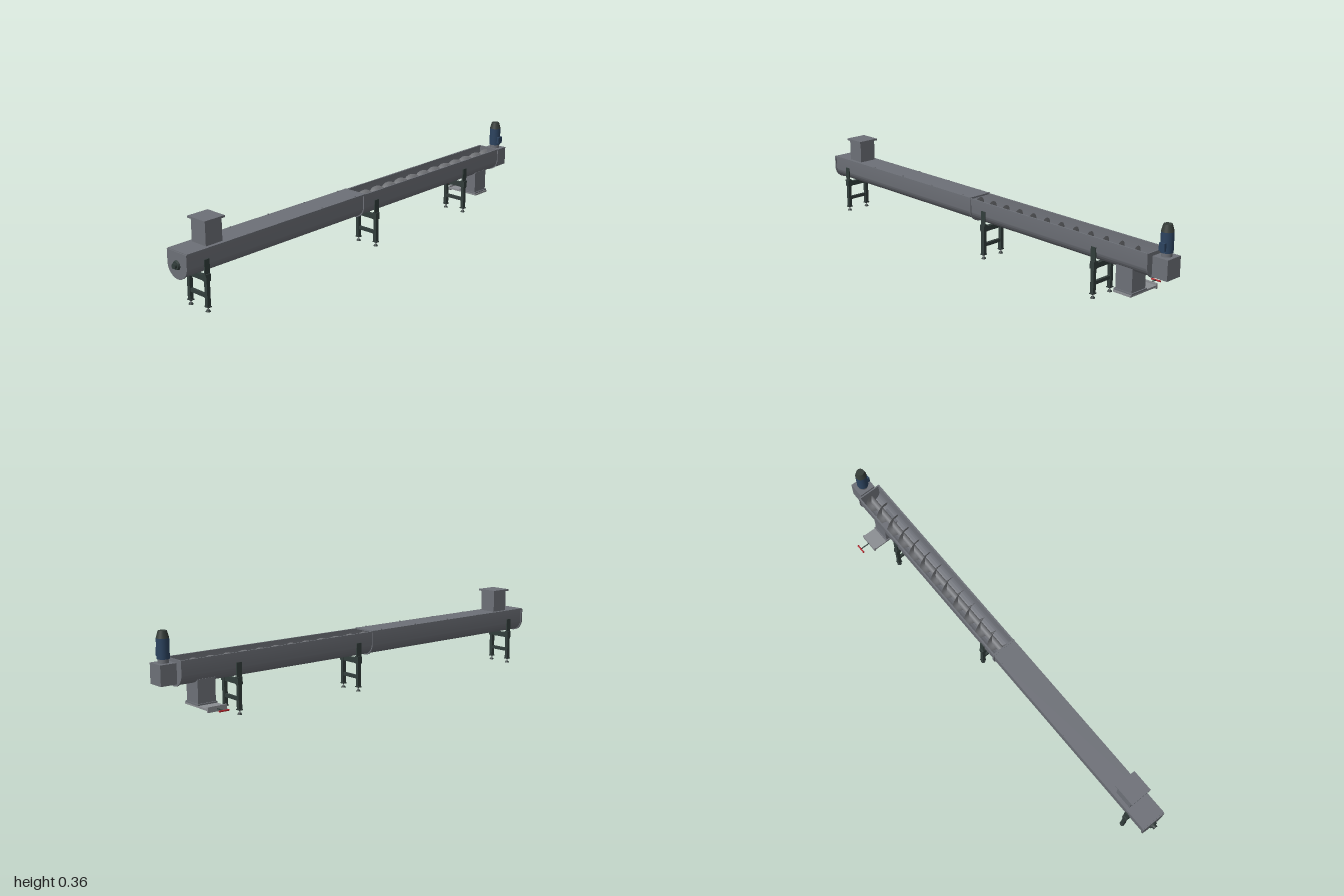
import * as THREE from 'three';
import { toCreasedNormals } from 'three/addons/utils/BufferGeometryUtils.js';
import { ParametricGeometry } from 'three/addons/geometries/ParametricGeometry.js';

const mat = (name, color, side = THREE.FrontSide) =>
  Object.assign(new THREE.MeshStandardMaterial({ color, side }), { name });

export function createModel() {
  const steel = mat('steel grey', 0x6d7077);
  const flightSteel = mat('screw steel', 0x787a7e, THREE.DoubleSide);
  const lightSteel = mat('light steel', 0x8b8e92);
  const frame = mat('dark frame', 0x323d3b);
  const blue = mat('motor blue', 0x2c435f);
  const dark = mat('fan cover dark', 0x353c38);
  const red = mat('handle red', 0xb02028);

  const model = new THREE.Group();
  model.name = 'screwConveyor';
  // Everything is laid out around the screw axis plane, then shifted in z
  const body = new THREE.Group();
  body.name = 'conveyor';
  body.position.z = 0.05;
  model.add(body);

  const add = (name, geo, material, x = 0, y = 0, z = 0, parent = body) => {
    const m = new THREE.Mesh(geo, material);
    m.name = name;
    m.position.set(x, y, z);
    parent.add(m);
    return m;
  };
  // Box given by its limits on each axis
  const box = (name, material, [x0, x1], [y0, y1], [z0, z1], parent = body) =>
    add(name, new THREE.BoxGeometry(x1 - x0, y1 - y0, z1 - z0), material,
      (x0 + x1) / 2, (y0 + y1) / 2, (z0 + z1) / 2, parent);
  const cyl = (name, material, r0, r1, h, x, y, z, parent = body, axis = 'y') => {
    const g = new THREE.CylinderGeometry(r1, r0, h, 24);
    if (axis === 'x') g.rotateZ(-Math.PI / 2);
    if (axis === 'z') g.rotateX(Math.PI / 2);
    return add(name, g, material, x, y, z, parent);
  };

  const AXIS = 0.199, TOP = 0.25, R = 0.0515;

  // U-shaped section extruded along x; inner radius 0 makes a solid plate
  const uSection = (name, x0, x1, outer, inner, material = steel) => {
    const h = TOP - AXIS;
    const s = new THREE.Shape();
    s.moveTo(-outer, h);
    s.lineTo(-outer, 0);
    s.absarc(0, 0, outer, Math.PI, Math.PI * 2, false);
    s.lineTo(outer, h);
    if (inner) {
      s.lineTo(inner, h);
      s.lineTo(inner, 0);
      s.absarc(0, 0, inner, Math.PI * 2, Math.PI, true);
      s.lineTo(-inner, h);
    }
    s.closePath();
    const g = new THREE.ExtrudeGeometry(s, { depth: x1 - x0, bevelEnabled: false, curveSegments: 28 });
    g.rotateY(Math.PI / 2);
    return add(name, toCreasedNormals(g, 0.6), material, x0, AXIS, 0);
  };

  // Trough sections, end plates and joint flange
  uSection('coveredTrough', -0.975, -0.034, R, R - 0.003);
  uSection('openTrough', -0.026, 0.915, R, R - 0.003);
  uSection('inletEndPlate', -0.982, -0.975, 0.0555, 0);
  uSection('driveEndPlate', 0.915, 0.921, 0.0555, 0);
  uSection('jointFlange', -0.034, -0.026, 0.0565, R - 0.003);
  box('jointBar', steel, [-0.034, -0.026], [0.247, 0.254], [-0.0565, 0.0565]);

  // Rim strips and flat cover
  for (const s of [-1, 1]) {
    const z = [s * 0.0525 - 0.003, s * 0.0525 + 0.003];
    box('troughRim', steel, [-0.975, 0.915], [0.246, 0.251], z);
  }
  box('cover', steel, [-0.978, -0.034], [0.25, 0.253], [-0.0555, 0.0555]);
  for (let x = -0.68; x < -0.05; x += 0.2) {
    for (const s of [-1, 1]) cyl('coverBolt', steel, 0.003, 0.003, 0.004, x, 0.2545, s * 0.05);
  }

  // Screw: shaft with helical flight
  cyl('screwShaft', flightSteel, 0.013, 0.013, 1.91, -0.025, AXIS, 0, body, 'x');
  const len = 1.87, turns = 24;
  const flight = new ParametricGeometry((u, v, p) => {
    const r = 0.012 + u * 0.032, a = v * turns * Math.PI * 2;
    p.set(-0.965 + v * len, r * Math.cos(a), r * Math.sin(a));
  }, 1, turns * 20);
  add('screwFlight', flight, flightSteel, 0, AXIS, 0);

  // Bearing at the inlet end
  cyl('endBearing', frame, 0.019, 0.016, 0.008, -0.986, AXIS, 0, body, 'x').rotation.y = Math.PI;
  cyl('bearingCap', frame, 0.01, 0.01, 0.014, -0.993, AXIS, 0, body, 'x');

  // Inlet box with flange (four rails around an open mouth)
  const inletX = -0.837;
  const duct = (name, x, y0, y1, half, t) => {
    for (const s of [-1, 1]) {
      const near = [s * (half - t / 2) - t / 2, s * (half - t / 2) + t / 2];
      box(name, steel, [x + near[0], x + near[1]], [y0, y1], [-half, half]);
      box(name, steel, [x - half + t, x + half - t], [y0, y1], near);
    }
  };
  duct('inletWall', inletX, 0.252, 0.347, 0.04, 0.003);
  box('inletFlange', steel, [inletX - 0.049, inletX + 0.049], [0.346, 0.354], [-0.049, 0.049]);

  // Discharge spout with slide gate
  const outX = 0.802;
  box('spout', steel, [outX - 0.04, outX + 0.04], [0.065, 0.165], [-0.04, 0.04]);
  box('spoutFlange', steel, [outX - 0.045, outX + 0.045], [0.063, 0.069], [-0.045, 0.045]);
  box('slideGate', lightSteel, [outX - 0.043, outX + 0.043], [0.055, 0.063], [-0.105, 0.049]);
  box('gateBracket', lightSteel, [outX - 0.043, outX + 0.043], [0.048, 0.07], [-0.112, -0.104]);
  cyl('gateRod', frame, 0.0025, 0.0025, 0.045, outX, 0.059, -0.134, body, 'z');
  cyl('gateHandle', red, 0.0035, 0.0035, 0.044, outX, 0.059, -0.1565, body, 'x');

  // Drive: coupling, gearbox, motor and fan cover
  const driveX = 0.964;
  cyl('driveCoupling', steel, 0.024, 0.024, 0.014, 0.926, AXIS, 0, body, 'x');
  box('gearbox', steel, [0.93, 1], [0.159, 0.241], [-0.038, 0.038]);
  cyl('motorNeck', steel, 0.021, 0.021, 0.016, driveX, 0.249, 0);
  cyl('motorBody', blue, 0.025, 0.025, 0.079, driveX, 0.2965, 0);
  box('terminalBox', blue, [driveX - 0.013, driveX + 0.013], [0.266, 0.297], [0.018, 0.032]);
  cyl('fanCover', dark, 0.025, 0.017, 0.028, driveX, 0.35, 0);

  // Support stands
  for (const x of [-0.887, 0.049, 0.66]) {
    const stand = new THREE.Group();
    stand.name = 'supportStand';
    stand.position.x = x;
    body.add(stand);
    box('topBeam', frame, [-0.008, 0.008], [0.122, 0.143], [-0.058, 0.058], stand);
    box('lowerBeam', frame, [-0.006, 0.006], [0.055, 0.069], [-0.05, 0.05], stand);
    for (const s of [-1, 1]) {
      const span = (a, b) => [Math.min(s * a, s * b), Math.max(s * a, s * b)];
      box('troughBracket', frame, [-0.012, 0.012], [0.145, 0.21], span(0.05, 0.0555), stand);
      box('standHead', frame, [-0.011, 0.011], [0.122, 0.152], span(0.039, 0.06), stand);
      box('post', frame, [-0.008, 0.008], [0.02, 0.125], span(0.0425, 0.0575), stand);
      box('postFoot', frame, [-0.009, 0.009], [0.018, 0.022], span(0.039, 0.061), stand);
      cyl('levelingScrew', lightSteel, 0.003, 0.003, 0.014, 0, 0.012, s * 0.05, stand);
      cyl('footPad', frame, 0.01, 0.006, 0.007, 0, 0.0035, s * 0.05, stand);
    }
  }
  return model;
}
